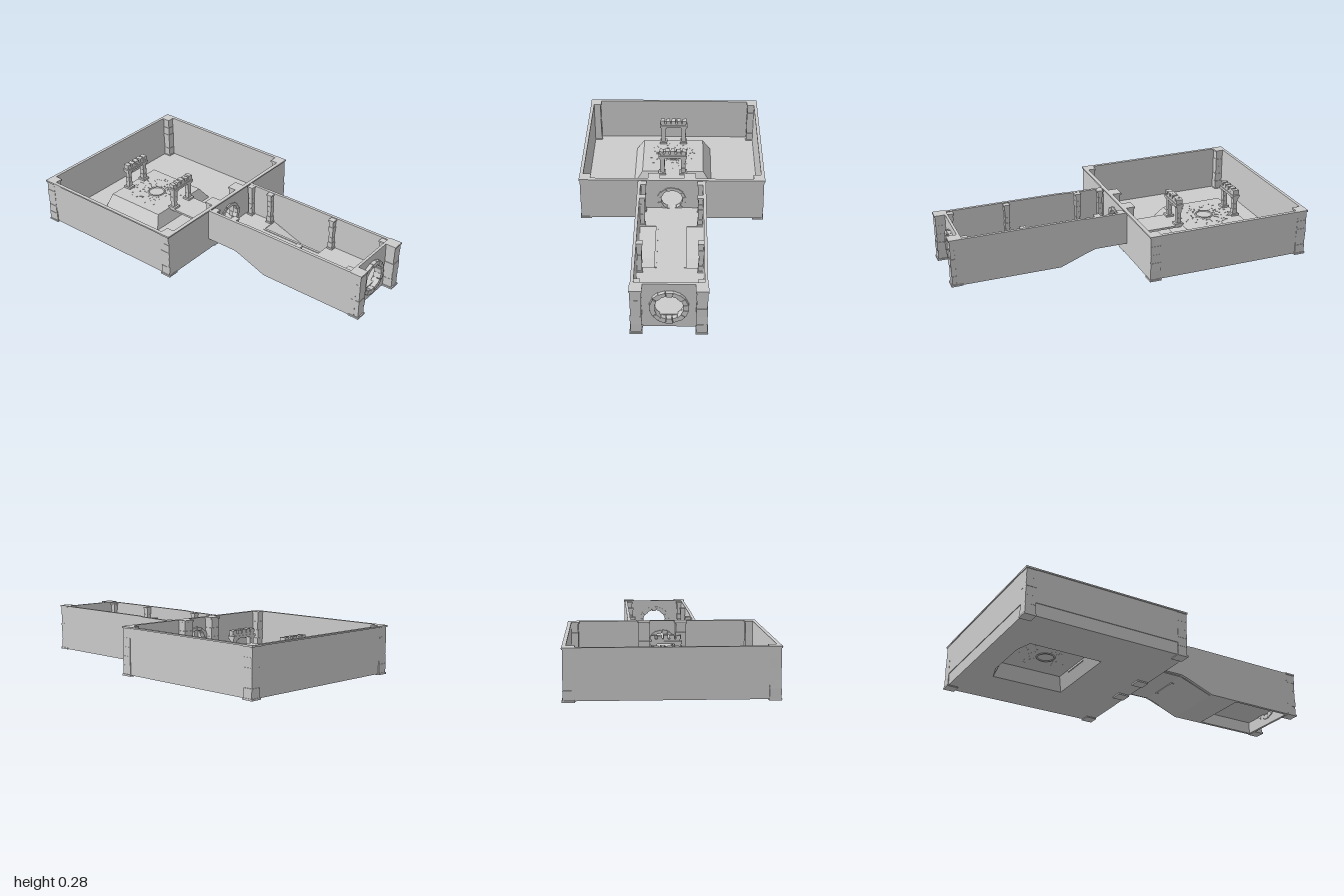
import * as THREE from 'three';

const mat = new THREE.MeshStandardMaterial({ color: 0xcccccc, flatShading: true, side: THREE.DoubleSide });

// Small seeded generator for uneven stonework
let seed = 7;
const rnd = () => { seed = (seed * 16807) % 2147483647; return seed / 2147483647; };
const jit = (a) => (rnd() - 0.5) * 2 * a;

function add(parent, name, geo) {
  const m = new THREE.Mesh(geo, mat);
  m.name = name;
  parent.add(m);
  return m;
}

// Box given by its min and max corners
function box(parent, name, x0, x1, y0, y1, z0, z1) {
  const m = add(parent, name, new THREE.BoxGeometry(x1 - x0, y1 - y0, z1 - z0));
  m.position.set((x0 + x1) / 2, (y0 + y1) / 2, (z0 + z1) / 2);
  return m;
}

// Pillar of stacked uneven blocks with base and cap plates
function pillar(parent, name, cx, cz, w, y0, y1, plates = true, n = 5) {
  const g = new THREE.Group();
  g.name = name;
  g.position.set(cx, 0, cz);
  const p = plates ? 0.01 : 0, h = (y1 - y0 - 2 * p) / n, r = w / 2;
  for (let i = 0; i < n; i++) {
    const a = r - 0.003 - rnd() * 0.003;
    const b = box(g, 'block', -a, a, y0 + p + i * h, y0 + p + (i + 1) * h - 0.001, -a, a);
    b.rotation.y = jit(0.03);
  }
  if (plates) {
    box(g, 'base', -r, r, y0, y0 + p, -r, r);
    box(g, 'cap', -r, r, y1 - p, y1, -r, r);
  }
  parent.add(g);
}

// Wall in the xy plane with a round doorway
function doorWall(parent, name, hw, y0, y1, z, t, r) {
  const s = new THREE.Shape([[-hw, y0], [hw, y0], [hw, y1], [-hw, y1]].map((p) => new THREE.Vector2(...p)));
  s.holes.push(new THREE.Path().absarc(0, 0.14, r, 0, Math.PI * 2, true));
  add(parent, name, new THREE.ExtrudeGeometry(s, { depth: t, bevelEnabled: false, curveSegments: 16 })).position.z = z;
}

// Ring of wedge stones around a doorway
function stoneRing(parent, name, z, depth, rIn, rOut, n = 16) {
  const g = new THREE.Group();
  g.name = name;
  g.position.set(0, 0.14, z);
  for (let i = 0; i < n; i++) {
    const half = Math.PI / n * 0.95, o = rOut - rnd() * 0.007, q = rIn + jit(0.003);
    const s = new THREE.Shape([[q, -half], [o, -half], [o, half], [q, half]]
      .map(([r, a]) => new THREE.Vector2(r * Math.cos(a), r * Math.sin(a))));
    const d = depth - rnd() * 0.006;
    const m = add(g, 'ringStone', new THREE.ExtrudeGeometry(s, { depth: d, bevelEnabled: false }));
    m.position.z = -d / 2;
    m.rotation.z = i / n * Math.PI * 2 + jit(0.03);
  }
  parent.add(g);
}

// Free-standing stone gate: two posts, lintel and rubble on top
function gate(parent, name, z) {
  const g = new THREE.Group();
  g.name = name;
  g.position.z = z;
  for (const s of [-1, 1]) {
    pillar(g, 'gatePost', s * 0.065, 0, 0.036, 0.08, 0.2, true, 3);
    box(g, 'postFoot', s * 0.065 - 0.023, s * 0.065 + 0.023, 0.08, 0.092, -0.025, 0.025);
  }
  box(g, 'lintel', -0.088, 0.088, 0.2, 0.214, -0.023, 0.023);
  box(g, 'upperLintel', -0.078, 0.078, 0.214, 0.226, -0.018, 0.018);
  for (let i = 0; i < 5; i++) {
    const m = add(g, 'topStone', new THREE.BoxGeometry(0.026, 0.018 + rnd() * 0.014, 0.036));
    m.position.set(-0.07 + i * 0.035, 0.234, 0);
    m.rotation.set(0, jit(0.2), jit(0.15));
  }
  parent.add(g);
}

function buildRoom() {
  const g = new THREE.Group();
  g.name = 'room';
  const zb = -0.995, zf = -0.03, T = 0.275;

  // Side and back walls: upper band over a slightly inset lower band
  for (const [y0, y1, inset, part] of [[0.08, T, 0, 'upper'], [0.008, 0.08, 0.004, 'lower']]) {
    const o = 0.538 - inset;
    for (const s of [-1, 1]) {
      const a = s * o, b = s * 0.524;
      box(g, part + 'SideWall', Math.min(a, b), Math.max(a, b), y0, y1, zb + inset, zf - inset);
    }
    box(g, part + 'BackWall', -0.524, 0.524, y0, y1, zb + inset, -0.981);
  }
  doorWall(g, 'frontWall', 0.538, 0.008, T, -0.045, 0.015, 0.068);

  // Rim along the wall tops
  for (const s of [-1, 1]) box(g, 'sideRim', s * 0.533 - 0.01, s * 0.533 + 0.01, 0.267, T, -1, -0.025);
  box(g, 'backRim', -0.54, 0.54, 0.267, T, -1, -0.981);
  box(g, 'frontRim', -0.54, 0.54, 0.267, T, -0.047, -0.025);

  for (const s of [-1, 1]) {
    pillar(g, 'cornerPillar', s * 0.511, -0.966, 0.066, 0.002, T);
    pillar(g, 'cornerPillar', s * 0.511, -0.06, 0.066, 0.002, T);
    pillar(g, 'doorPillar', s * 0.106, -0.067, 0.07, 0, T);
  }
  stoneRing(g, 'innerDoorRing', -0.04, 0.035, 0.064, 0.088, 14);

  // Raised dais: sloping shell, hollow beneath, set in a hole in the floor
  const base = [[0.24, -0.395], [0.24, -0.82], [0.14, -0.85], [-0.14, -0.85], [-0.24, -0.82], [-0.24, -0.395]];
  const top = [[0.19, -0.43], [0.19, -0.81], [0.14, -0.81], [-0.14, -0.81], [-0.19, -0.81], [-0.19, -0.43]];
  const floor = new THREE.Shape([[-0.53, 0.035], [0.53, 0.035], [0.53, 0.99], [-0.53, 0.99]]
    .map((p) => new THREE.Vector2(...p)));
  floor.holes.push(new THREE.Path(base.map(([x, z]) => new THREE.Vector2(x, -z))));
  const fg = new THREE.ShapeGeometry(floor);
  fg.rotateX(-Math.PI / 2);
  add(g, 'floor', fg).position.y = 0.008;

  const pos = [], idx = [];
  base.forEach(([x, z]) => pos.push(x, 0.008, z));
  top.forEach(([x, z]) => pos.push(x, 0.08, z));
  for (let i = 0; i < 6; i++) {
    const j = (i + 1) % 6;
    idx.push(i, j, 6 + j, i, 6 + j, 6 + i);
    if (i > 0 && i < 5) idx.push(6, 6 + i, 6 + j);
  }
  const dais = new THREE.BufferGeometry();
  dais.setAttribute('position', new THREE.Float32BufferAttribute(pos, 3));
  dais.setIndex(idx);
  dais.computeVertexNormals();
  add(g, 'dais', dais);

  // Round seal with shattered stone chips around it
  const seal = add(g, 'sealRing', new THREE.TorusGeometry(0.05, 0.005, 4, 20));
  seal.rotation.x = Math.PI / 2;
  seal.position.set(0, 0.08, -0.615);
  for (let i = 0; i < 90; i++) {
    const a = rnd() * Math.PI * 2, r = 0.06 + rnd() * 0.1;
    const m = add(g, 'stoneChip', new THREE.BoxGeometry(0.004 + rnd() * 0.01, 0.003, 0.003));
    m.position.set(r * Math.cos(a), 0.081, -0.615 + r * Math.sin(a));
    m.rotation.y = -a + jit(0.5);
  }
  gate(g, 'backGate', -0.785);
  gate(g, 'frontGate', -0.412);
  box(g, 'walkway', -0.087, 0.087, 0.068, 0.08, -0.43, -0.03);
  return g;
}

function buildCorridor() {
  const g = new THREE.Group();
  g.name = 'corridor';

  // Side walls follow the sloped underside of the pit
  const prof = new THREE.Shape([[0.97, 0.002], [0.37, 0.002], [0.2, 0.068], [0.16, 0.08], [-0.03, 0.08],
    [-0.03, 0.273], [0.2, 0.275], [0.24, 0.278], [0.97, 0.278]].map((p) => new THREE.Vector2(...p)));
  const wall = new THREE.ExtrudeGeometry(prof, { depth: 0.017, bevelEnabled: false });
  wall.rotateY(-Math.PI / 2);
  add(g, 'sideWall', wall).position.x = 0.198;
  add(g, 'sideWall', wall).position.x = -0.181;

  // Floor landings, pit with ramp, and the bridge over it
  box(g, 'backLanding', -0.182, 0.182, 0.074, 0.08, -0.03, 0.16);
  box(g, 'frontLanding', -0.182, 0.182, 0.074, 0.08, 0.55, 0.935);
  box(g, 'pitEnd', -0.182, 0.182, 0.002, 0.08, 0.55, 0.554);
  box(g, 'pitFloor', -0.182, 0.182, 0.002, 0.006, 0.365, 0.552);
  const ramp = box(g, 'pitRamp', -0.182, 0.182, 0.038, 0.042, 0.155, 0.375);
  ramp.rotation.x = Math.atan2(0.074, 0.207);
  box(g, 'bridge', -0.08, 0.08, 0.07, 0.08, 0.16, 0.55);
  for (const s of [-1, 1]) box(g, 'bridgeEdge', s * 0.082 - 0.007, s * 0.082 + 0.007, 0.068, 0.084, 0.16, 0.55);

  // Front wall with its round entrance
  doorWall(g, 'entranceWall', 0.198, 0.002, 0.28, 0.925, 0.015, 0.08);
  stoneRing(g, 'entranceRing', 0.94, 0.045, 0.075, 0.106);

  for (const s of [-1, 1]) {
    pillar(g, 'frontPillar', s * 0.169, 0.967, 0.066, 0, 0.28);
    for (const z of [0, 0.14, 0.575, 0.905]) pillar(g, 'innerPillar', s * 0.166, z, 0.036, 0.08, 0.273);
  }
  return g;
}

export function createModel() {
  const model = new THREE.Group();
  model.name = 'walledChamber';
  model.add(buildRoom(), buildCorridor());
  return model;
}
